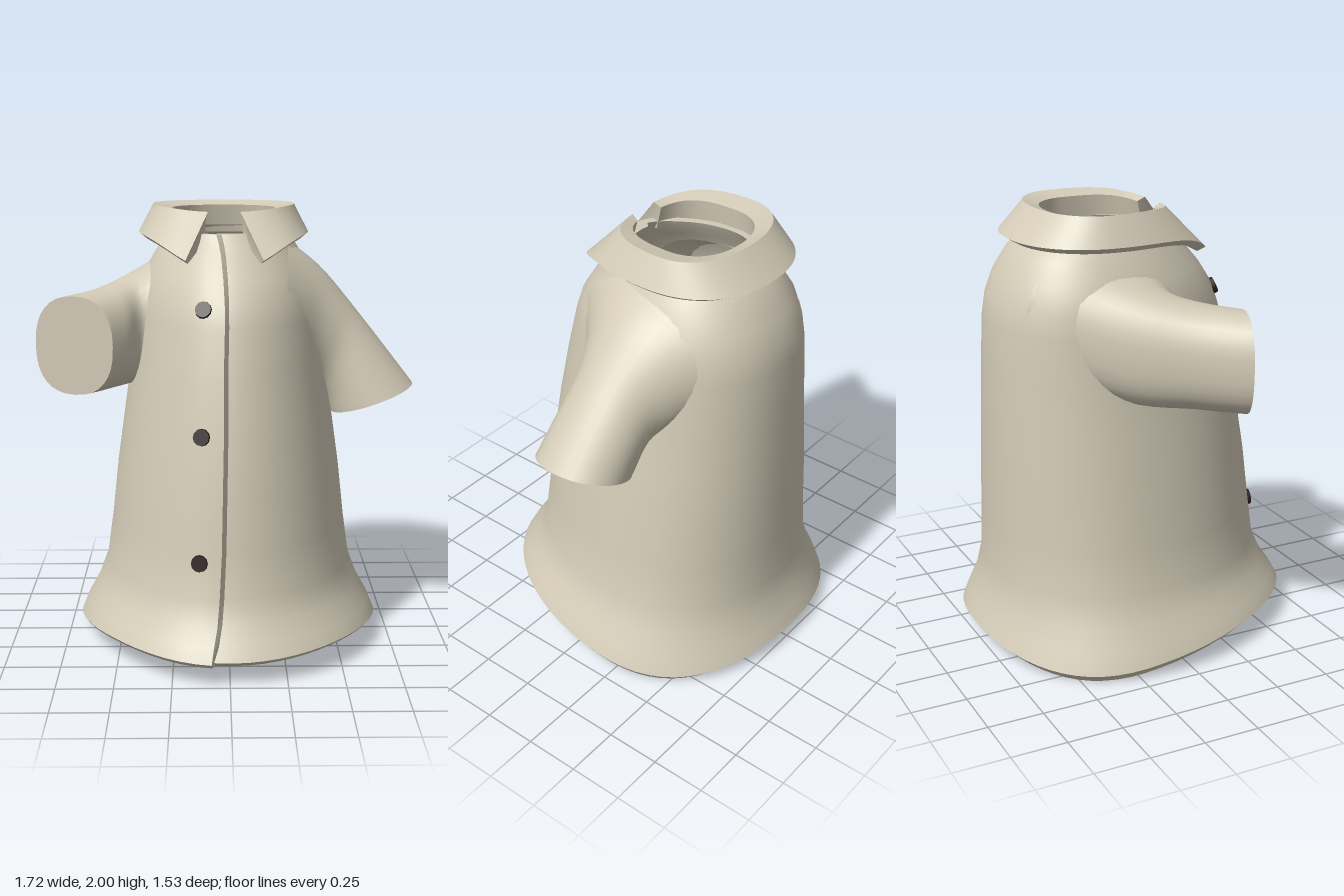
import * as THREE from 'three';

const cloth = new THREE.MeshStandardMaterial({ color: 0xd3cbb7, side: THREE.DoubleSide });
cloth.name = 'beige cloth';
const brown = new THREE.MeshStandardMaterial({ color: 0x2b1d1b });
brown.name = 'dark brown';

const V = (x, y, z) => new THREE.Vector3(x, y, z);
const spow = (v, p) => Math.sign(v) * Math.abs(v) ** p;

// Skin over rows of points; each call keeps its own smooth normals
function loft(name, rows, closed = false) {
  const n = rows[0].length, idx = [];
  for (let i = 0; i < rows.length - 1; i++) {
    for (let j = 0; j < (closed ? n : n - 1); j++) {
      const a = i * n + j, c = i * n + (j + 1) % n, b = a + n, d = c + n;
      idx.push(a, c, b, c, d, b);
    }
  }
  return finish(name, rows.flat(), idx);
}

// Flat polygon as a fan around its middle
function fan(name, pts) {
  const mid = pts.reduce((s, p) => s.add(p), V(0, 0, 0)).divideScalar(pts.length);
  const idx = pts.flatMap((_, j) => [0, j + 1, (j + 1) % pts.length + 1]);
  return finish(name, [mid, ...pts], idx);
}

function finish(name, pts, idx) {
  const g = new THREE.BufferGeometry().setFromPoints(pts);
  g.setIndex(idx);
  g.computeVertexNormals();
  const m = new THREE.Mesh(g, cloth);
  m.name = name;
  return m;
}

// Oval around the neck or body: f = 0 at the front, growing towards -x
function oval(f, xh, zf, zb, nFront, nBack) {
  const c = Math.cos(f), s = Math.sin(f), cz = zb + (zf - zb) * 0.42;
  const p = 2 / (c < 0 ? nBack : nFront);
  return V(-xh * spow(s, p), 0, cz + (c > 0 ? zf - cz : cz - zb) * spow(c, p));
}

// Body rows: height, half width, front z, back z, x of the front edge
const BODY = [
  [1.885, 0.27, 0.19, -0.44, -0.055], [1.85, 0.29, 0.215, -0.49, -0.045],
  [1.80, 0.325, 0.255, -0.54, -0.035], [1.70, 0.385, 0.34, -0.60, -0.025],
  [1.60, 0.415, 0.405, -0.637, -0.02], [1.50, 0.43, 0.44, -0.652, -0.02],
  [1.30, 0.45, 0.49, -0.66, -0.025], [1.05, 0.485, 0.54, -0.665, -0.025],
  [0.80, 0.52, 0.58, -0.67, -0.03], [0.55, 0.547, 0.61, -0.672, -0.035],
  [0.35, 0.575, 0.635, -0.677, -0.045], [0.22, 0.62, 0.68, -0.70, -0.055],
  [0.12, 0.67, 0.73, -0.735, -0.07], [0.033, 0.70, 0.765, -0.765, -0.08],
];
const RIM = [0, 0.68, 0.735, -0.735, -0.08];

function bodyRow([y, xh, zf, zb, seam], inset = 0) {
  const f0 = Math.asin(-(seam + inset * 0.6) / xh), f1 = 2 * Math.PI + f0 + 0.06, row = [];
  for (let j = 0; j <= 64; j++) {
    const f = f0 + (f1 - f0) * j / 64;
    const p = oval(f, xh - inset, zf - 0.03 - inset, zb + inset, 2, 2.2);
    // the overlapping front flap stands proud
    p.z += 0.032 * (1 - THREE.MathUtils.smoothstep(f, f0 + 0.1, f0 + 0.8));
    // wavy hem fading out upwards
    const wave = 0.055 + 0.04 * Math.cos(f) + 0.015 * Math.cos(2 * f) - 0.025 * Math.cos(3 * f);
    p.y = y + Math.max(0, wave) * Math.max(0, 1 - y / 0.3);
    row.push(p);
  }
  return row;
}

function buildBody() {
  const g = new THREE.Group();
  g.name = 'shirtBody';
  const outer = BODY.map(r => bodyRow(r));
  const inner = BODY.map(r => bodyRow(r, 0.035));
  const rim = bodyRow(RIM), rimIn = bodyRow(RIM, 0.015);
  g.add(loft('outerCloth', outer));
  g.add(loft('hemRim', [outer.at(-1), rim]));
  g.add(loft('hemUnderside', [rim, rimIn]));
  g.add(loft('innerCloth', [rimIn, ...inner.slice(0, -1).reverse()]));
  g.add(loft('neckEdge', [inner[0], outer[0]]));
  // thin vertical edges of the front opening
  const ends = [...outer, rim], insides = [...inner.slice(0, -1), rimIn, rimIn];
  g.add(loft('flapEdge', [ends.map(r => r[0]), insides.map(r => r[0])]));
  g.add(loft('underFlapEdge', [insides.map(r => r.at(-1)), ends.map(r => r.at(-1))]));
  return g;
}

// Collar rings from inside the neck, over the fold, to the turned-down edge:
// half width, front z, back z, height, front dip, angle of the front gap, front roundness
const COLLAR = [
  [0.25, 0.13, -0.42, 1.85, 0, 0.25, 2.6], [0.235, 0.10, -0.39, 1.98, 0.02, 0.25, 2.6],
  [0.325, 0.13, -0.45, 2.0, 0.02, 0.15, 2.5], [0.39, 0.36, -0.57, 1.875, 0.14, 0.45, 2],
  [0.36, 0.32, -0.53, 1.85, 0.13, 0.46, 2],
];

function buildCollar() {
  const g = new THREE.Group();
  g.name = 'collar';
  const rows = COLLAR.map(([xh, zf, zb, y, dip, gap, nFront]) => {
    const row = [];
    for (let j = 0; j <= 48; j++) {
      const f = gap + (2 * Math.PI - 2 * gap) * j / 48;
      const p = oval(f, xh, zf, zb, nFront, 2.3);
      p.x -= 0.02;
      p.y = y - dip * Math.max(0, Math.cos(f)) ** 4;
      row.push(p);
    }
    return row;
  });
  ['collarInside', 'collarFold', 'collarOutside', 'collarLip'].forEach((n, i) =>
    g.add(loft(n, [rows[i], rows[i + 1]])));
  g.add(loft('collarUnderside', [rows[4], rows[0]]));
  g.add(fan('collarEndRight', rows.map(r => r[0])));
  g.add(fan('collarEndLeft', rows.map(r => r.at(-1)).reverse()));
  return g;
}

// Sleeve: smooth tube through oval sections [centre, half axis a, half axis b], flat end
function buildSleeve(name, sections, n) {
  const g = new THREE.Group();
  g.name = name;
  const [c, a, b] = [0, 1, 2].map(k => new THREE.CatmullRomCurve3(sections.map(s => s[k])));
  const rings = [];
  for (let i = 0; i <= 14; i++) {
    const C = c.getPoint(i / 14), A = a.getPoint(i / 14), B = b.getPoint(i / 14);
    rings.push(Array.from({ length: 32 }, (_, j) => {
      const t = j / 32 * Math.PI * 2;
      return C.clone().addScaledVector(A, spow(Math.cos(t), 2 / n))
        .addScaledVector(B, spow(Math.sin(t), 2 / n));
    }));
  }
  g.add(loft('sleeveCloth', rings, true));
  g.add(fan('sleeveEnd', rings.at(-1)));
  return g;
}

export function createModel() {
  const model = new THREE.Group();
  model.name = 'shirt';
  model.add(buildBody(), buildCollar());

  // Lowered left sleeve
  model.add(buildSleeve('leftSleeve', [
    [V(0.25, 1.54, -0.16), V(0.02, 0.30, 0), V(0, 0, 0.40)],
    [V(0.41, 1.45, -0.16), V(0.03, 0.25, 0), V(0, 0, 0.26)],
    [V(0.53, 1.31, -0.13), V(0.085, 0.18, 0), V(0, 0, 0.20)],
    [V(0.67, 1.11, -0.10), V(0.19, 0.067, 0), V(0, 0, 0.21)],
  ], 2.1));

  // Right sleeve reaching forwards: outer x, z, inner x, z, height, half height
  model.add(buildSleeve('rightSleeve', [
    [-0.24, -0.58, -0.15, 0.20, 1.54, 0.29], [-0.50, -0.29, -0.37, 0.10, 1.44, 0.25],
    [-0.70, -0.03, -0.44, 0.20, 1.41, 0.225], [-0.86, 0.17, -0.51, 0.28, 1.40, 0.22],
  ].map(([ox, oz, ix, iz, y, h]) => [
    V((ox + ix) / 2, y, (oz + iz) / 2), V((ox - ix) / 2, 0, (oz - iz) / 2), V(0, -h, 0),
  ]), 2.4));

  // Buttons: x, y, z, upward tilt
  [[-0.11, 1.58, 0.388, 0.42], [-0.12, 1.05, 0.519, 0.19], [-0.13, 0.51, 0.592, 0.13]]
    .forEach(([x, y, z, tilt], i) => {
      const button = new THREE.Mesh(new THREE.CylinderGeometry(0.036, 0.04, 0.03, 12), brown);
      button.name = 'button' + (i + 1);
      button.position.set(x, y, z);
      button.rotation.set(Math.PI / 2 - tilt, 0, 0.25);
      model.add(button);
    });
  return model;
}
